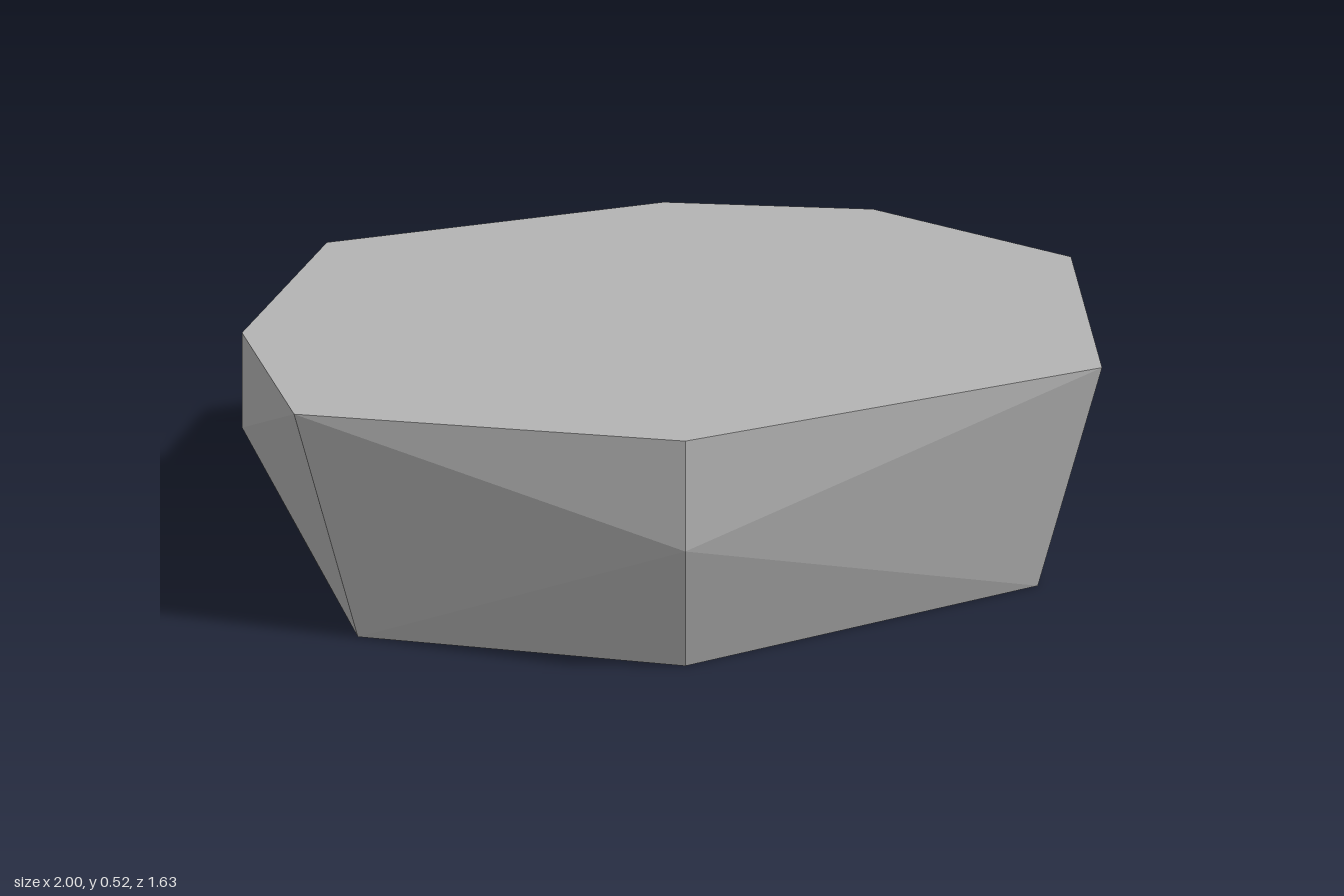
import * as THREE from 'three';

const HEIGHT = 0.525;
const WAIST = 0.305;

// Rim outline [x, z], clockwise from above; even corners bulge at the waist
const OUTLINE = [
  [0.10, -0.80], [0.63, -0.625], [0.98, -0.13], [0.75, 0.59],
  [-0.16, 0.795], [-0.87, 0.52], [-0.98, 0.03], [-0.79, -0.605],
];

function ring(y, scale) {
  return OUTLINE.map(([x, z]) => [x * scale, y, z * scale]);
}

function facetedMesh(name, triangles, material) {
  const geometry = new THREE.BufferGeometry();
  geometry.setAttribute('position', new THREE.Float32BufferAttribute(triangles.flat(2), 3));
  geometry.computeVertexNormals();
  const mesh = new THREE.Mesh(geometry, material);
  mesh.name = name;
  return mesh;
}

export function createModel() {
  const stone = new THREE.MeshStandardMaterial({ color: 0xb3b3b3 });
  stone.name = 'grey stone';
  stone.flatShading = true;

  const top = ring(HEIGHT, 1);
  const waist = ring(WAIST, 1.02);
  const base = ring(0, 0.9);
  const sides = [], topFace = [], baseFace = [];

  for (let i = 0; i < OUTLINE.length; i++) {
    const j = (i + 1) % OUTLINE.length;
    // Each side panel fans out from its bulging waist corner
    const even = i % 2 === 0;
    const hub = even ? waist[i] : waist[j];
    const loop = even
      ? [top[i], top[j], base[j], base[i]]
      : [base[j], base[i], top[i], top[j]];
    for (let k = 0; k < 3; k++) sides.push([hub, loop[k], loop[k + 1]]);
    // Flat faces
    topFace.push([[0, HEIGHT, 0], top[j], top[i]]);
    baseFace.push([[0, 0, 0], base[i], base[j]]);
  }

  const group = new THREE.Group();
  group.name = 'flatStone';
  group.add(
    facetedMesh('stoneSides', sides, stone),
    facetedMesh('stoneTop', topFace, stone),
    facetedMesh('stoneBase', baseFace, stone),
  );
  return group;
}
